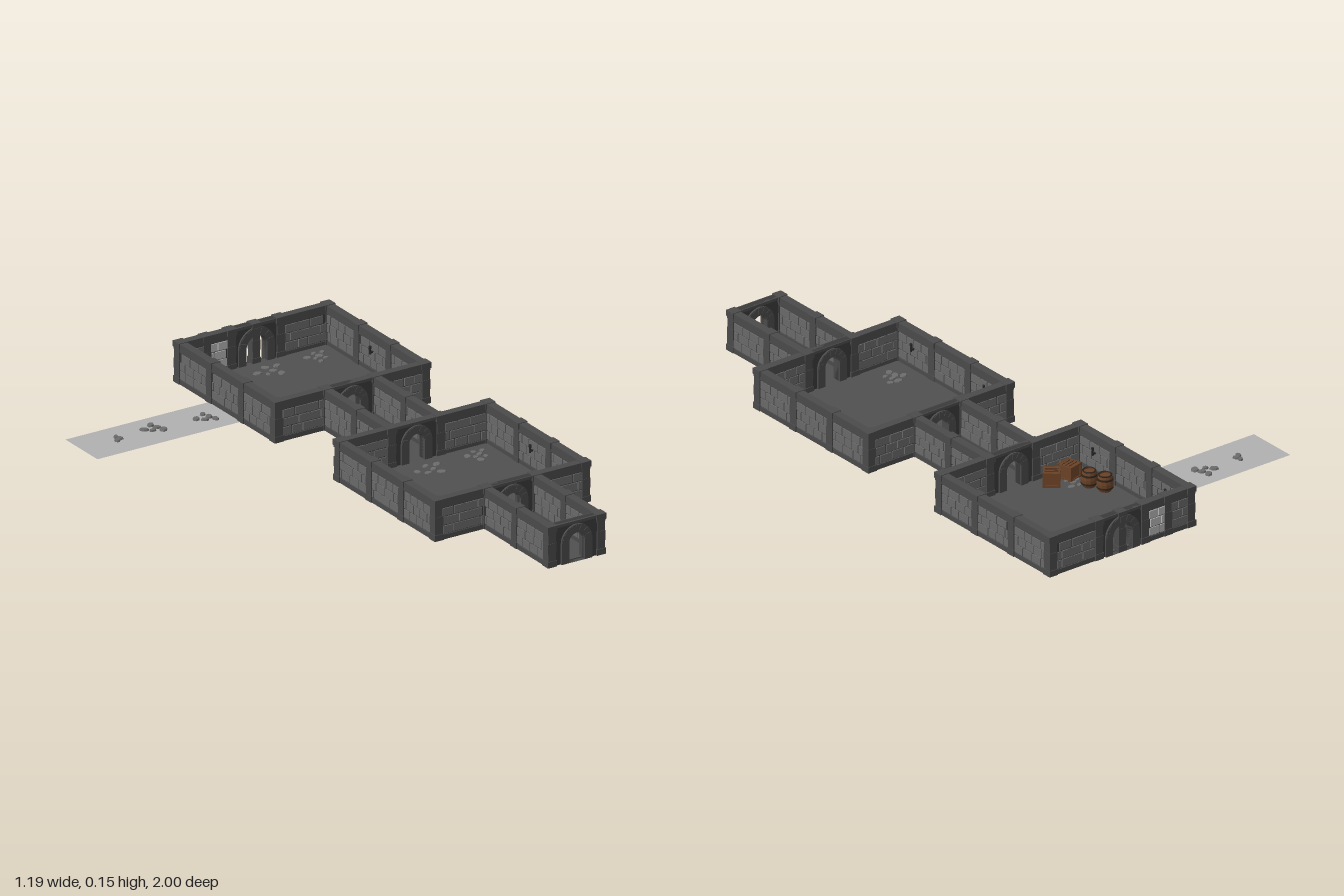
import * as THREE from 'three';

const P = 0.196;            // grid cell
const X0 = -0.013, Z0 = -0.98;
const H = 0.147;            // wall height
const gx = i => X0 + i * P, gz = j => Z0 + j * P;

const mat = (color, side = THREE.FrontSide) =>
  new THREE.MeshStandardMaterial({ color, flatShading: true, side });
const M = {
  floor: mat(0x505050), trim: mat(0x4a4a4a), mortar: mat(0x3a3a3a), brick: mat(0x686868),
  pale: mat(0xb4b4b4), rubble: mat(0x6c6c6c), path: mat(0xb0b0b0, THREE.DoubleSide),
  wood: mat(0x6b4226), band: mat(0x2e241c), iron: mat(0x2a2a2a)
};

let seed = 7;
const rnd = () => (seed = (seed * 16807) % 2147483647) / 2147483647;

function add(parent, name, geo, material, x = 0, y = 0, z = 0) {
  const m = new THREE.Mesh(geo, material);
  m.name = name;
  m.position.set(x, y, z);
  parent.add(m);
  return m;
}
const box = (parent, name, w, h, d, material, x, y, z) =>
  add(parent, name, new THREE.BoxGeometry(w, h, d), material, x, y, z);

function group(parent, name, x = 0, z = 0, turn = 0) {
  const g = new THREE.Group();
  g.name = name;
  g.position.set(x, 0, z);
  g.rotation.y = turn;
  parent.add(g);
  return g;
}

// Pillar of stacked blocks with base and cap
function pillar(parent, x, z, s = 1) {
  const g = group(parent, 'pillar', x, z);
  const courses = [[0, 0.022, 0.036], [0.022, 0.05, 0.031], [0.05, 0.086, 0.033],
    [0.086, 0.12, 0.03], [0.12, 0.128, 0.033], [0.128, 0.149, 0.038]];
  for (const [a, b, w] of courses)
    box(g, 'pillarBlock', w * s, b - a, w * s, M.trim, 0, (a + b) / 2, 0);
}

// Rows of raised bricks between two positions along a wall
function bricks(g, from, to, material = M.brick) {
  for (let r = 0; r < 3; r++) {
    let x = from - (r % 2) * 0.022;
    while (x < to - 0.008) {
      const end = Math.min(to, x + 0.036 + rnd() * 0.02), start = Math.max(from, x);
      if (end - start > 0.01)
        box(g, 'brick', end - start - 0.004, 0.028, 0.026 + rnd() * 0.003, material,
          (start + end) / 2, 0.034 + r * 0.032, 0);
      x = end;
    }
  }
}

function cap(g) {
  box(g, 'wallCap', P, H - 0.116, 0.029, M.trim, 0, (H + 0.116) / 2, 0);
}

function plainWall(parent, x, z, turn) {
  const g = group(parent, 'wall', x, z, turn);
  box(g, 'wallCore', P, 0.12, 0.02, M.mortar, 0, 0.06, 0);
  box(g, 'wallBase', P, 0.017, 0.029, M.trim, 0, 0.0085, 0);
  cap(g);
  bricks(g, -0.082, 0.082);
  return g;
}

// Round-headed outline used for openings and their stone surrounds
function archPath(Type, r, spring) {
  const p = new Type();
  p.moveTo(-r, 0);
  p.lineTo(r, 0);
  p.lineTo(r, spring);
  p.absarc(0, spring, r, 0, Math.PI, false);
  p.lineTo(-r, 0);
  return p;
}

function extrudeCentred(shape, depth) {
  const geo = new THREE.ExtrudeGeometry(shape, { depth, bevelEnabled: false, curveSegments: 10 });
  return geo.translate(0, 0, -depth / 2);
}

function archWall(parent, x, z, r = 0.031) {
  const g = group(parent, 'archWall', x, z);
  const spring = 0.105 - r;
  const wall = new THREE.Shape([[-P / 2, 0], [P / 2, 0], [P / 2, H], [-P / 2, H]]
    .map(([a, b]) => new THREE.Vector2(a, b)));
  wall.holes.push(archPath(THREE.Path, r, spring));
  add(g, 'archWallCore', extrudeCentred(wall, 0.022), M.mortar);
  const ring = archPath(THREE.Shape, r + 0.03, spring);
  ring.holes.push(archPath(THREE.Path, r, spring));
  add(g, 'archSurround', extrudeCentred(ring, 0.036), M.trim);
  // voussoir blocks round the head
  for (let i = 0; i < 7; i++) {
    const a = Math.PI * (i + 0.5) / 7;
    const b = box(g, 'archStone', 0.024, (r + 0.015) * 0.38, 0.039, M.brick,
      Math.cos(a) * (r + 0.015), spring + Math.sin(a) * (r + 0.015), 0);
    b.rotation.z = a;
    b.material = M.trim;
  }
  box(g, 'wallCapTop', P, 0.01, 0.029, M.trim, 0, H - 0.005, 0);
  return g;
}

// Scattered flat stones
function rubble(parent, x, z, n = 6, spread = 0.055) {
  const g = group(parent, 'rubble', x, z);
  for (let i = 0; i < n; i++) {
    const a = i * 2.4, d = spread * Math.sqrt((i + 0.3) / n), r = 0.012 + rnd() * 0.008;
    const s = add(g, 'flatStone', new THREE.CylinderGeometry(r * 0.8, r, 0.007, 7), M.rubble,
      Math.cos(a) * d, 0.0035, Math.sin(a) * d);
    s.scale.z = 0.75;
    s.rotation.y = rnd() * 6;
  }
}

function floor(parent, name, i0, i1, j0, j1) {
  box(parent, name, (i1 - i0) * P, 0.004, (j1 - j0) * P, M.floor,
    (gx(i0) + gx(i1)) / 2, 0.002, (gz(j0) + gz(j1)) / 2);
}

function torch(parent, x, z, dir) {
  const g = group(parent, 'wallTorch', x, z);
  box(g, 'torchBracket', 0.012, 0.006, 0.008, M.iron, dir * 0.006, 0.08, 0);
  add(g, 'torchHandle', new THREE.CylinderGeometry(0.005, 0.003, 0.03, 6), M.iron, dir * 0.011, 0.088, 0);
}

function room(parent, j0, closedBack) {
  const g = group(parent, 'room');
  floor(g, 'roomFloor', 0, 3, j0, j0 + 3);
  for (let k = 0; k < 3; k++) {
    for (const i of [0, 3]) plainWall(g, gx(i), gz(j0 + k + 0.5), Math.PI / 2);
    for (const j of [j0, j0 + 3]) {
      if (closedBack && j === j0) continue;
      if (k === 1) archWall(g, gx(1.5), gz(j));
      else plainWall(g, gx(k + 0.5), gz(j), 0);
    }
  }
  for (let k = 0; k <= 3; k++) {
    for (const j of [j0, j0 + 3]) pillar(g, gx(k), gz(j));
    if (k % 3) for (const i of [0, 3]) pillar(g, gx(i), gz(j0 + k));
  }
  for (const dz of [0.5, 2.5]) torch(g, gx(0) + 0.012, gz(j0 + dz), 1);
  torch(g, gx(3) - 0.012, gz(j0 + 1.5), -1);
  rubble(g, 0.28, gz(j0) + 0.1);
  rubble(g, 0.48, gz(j0) + 0.08, 7, 0.045);
  rubble(g, 0.49, gz(j0) + 0.48);
  rubble(g, 0.09, gz(j0) + 0.48, 7, 0.045);
}

function corridor(parent, j0) {
  const g = group(parent, 'corridor');
  floor(g, 'corridorFloor', 1, 2, j0, j0 + 2);
  for (const i of [1, 2]) {
    for (let k = 0; k < 2; k++) plainWall(g, gx(i), gz(j0 + k + 0.5), Math.PI / 2);
    pillar(g, gx(i), gz(j0 + 1));
  }
  rubble(g, 0.29, gz(j0) + 0.09);
}

function barrel(parent, x, z) {
  const g = group(parent, 'barrel', x, z);
  const pts = [[0, 0.004], [0.022, 0.004], [0.028, 0.02], [0.029, 0.033], [0.027, 0.046],
    [0.022, 0.062], [0.019, 0.062], [0.019, 0.058], [0, 0.058]].map(p => new THREE.Vector2(...p));
  add(g, 'barrelBody', new THREE.LatheGeometry(pts, 12), M.wood);
  for (const y of [0.018, 0.048])
    add(g, 'barrelHoop', new THREE.CylinderGeometry(0.029, 0.029, 0.006, 12), M.band, 0, y, 0);
  const rim = add(g, 'barrelRim', new THREE.TorusGeometry(0.022, 0.003, 4, 12), M.band, 0, 0.062, 0);
  rim.rotation.x = Math.PI / 2;
}

function crate(parent, x, z, turn) {
  const g = group(parent, 'crate', x, z, turn), s = 0.052;
  box(g, 'crateBody', s, s, s, M.wood, 0, s / 2 + 0.004, 0);
  for (const a of [-1, 1]) for (const b of [-1, 1]) {
    box(g, 'cratePost', 0.008, s + 0.003, 0.008, M.wood, a * s / 2, s / 2 + 0.005, b * s / 2);
    box(g, 'crateRail', s, 0.008, 0.006, M.wood, 0, s / 2 + 0.004 + a * 0.023, b * s / 2);
    box(g, 'crateSideRail', 0.006, 0.008, s, M.wood, b * s / 2, s / 2 + 0.004 + a * 0.023, 0);
  }
  for (const t of [-0.25, 0, 0.25]) box(g, 'crateGap', s * 0.9, 0.001, 0.002, M.band, 0, s + 0.0045, t * s);
}

export function createModel() {
  const model = new THREE.Group();
  model.name = 'dungeon';

  room(model, 0, true);
  corridor(model, 3);
  room(model, 5, false);
  corridor(model, 8);

  // Front entrance
  archWall(model, gx(1.5), gz(10));
  for (const i of [1, 2]) pillar(model, gx(i), gz(10));

  // Back wall: part-pale wall, divided archway, plain wall
  const pale = plainWall(model, gx(0.5), gz(0), 0);
  for (const b of pale.children) if (b.name === 'brick' && b.position.x > 0) b.material = M.pale;
  pillar(model, gx(0.5), gz(0), 0.95);
  archWall(model, gx(1.5), gz(0), 0.042);
  pillar(model, gx(1.5), gz(0), 0.95);
  plainWall(model, gx(2.5), gz(0), 0);

  // Pale path beside the back room
  const path = add(model, 'path', new THREE.PlaneGeometry(0.587, P), M.path, -0.3065, 0.001, gz(1.5));
  path.rotation.x = -Math.PI / 2;
  rubble(model, -0.45, -0.69, 3, 0.02);
  rubble(model, -0.3, -0.7, 5, 0.04);
  rubble(model, -0.105, -0.68, 5, 0.04);

  // Stores
  barrel(model, 0.05, -0.608);
  barrel(model, 0.072, -0.55);
  crate(model, 0.085, -0.46, 0.25);
  crate(model, 0.163, -0.463, -0.7);
  return model;
}
